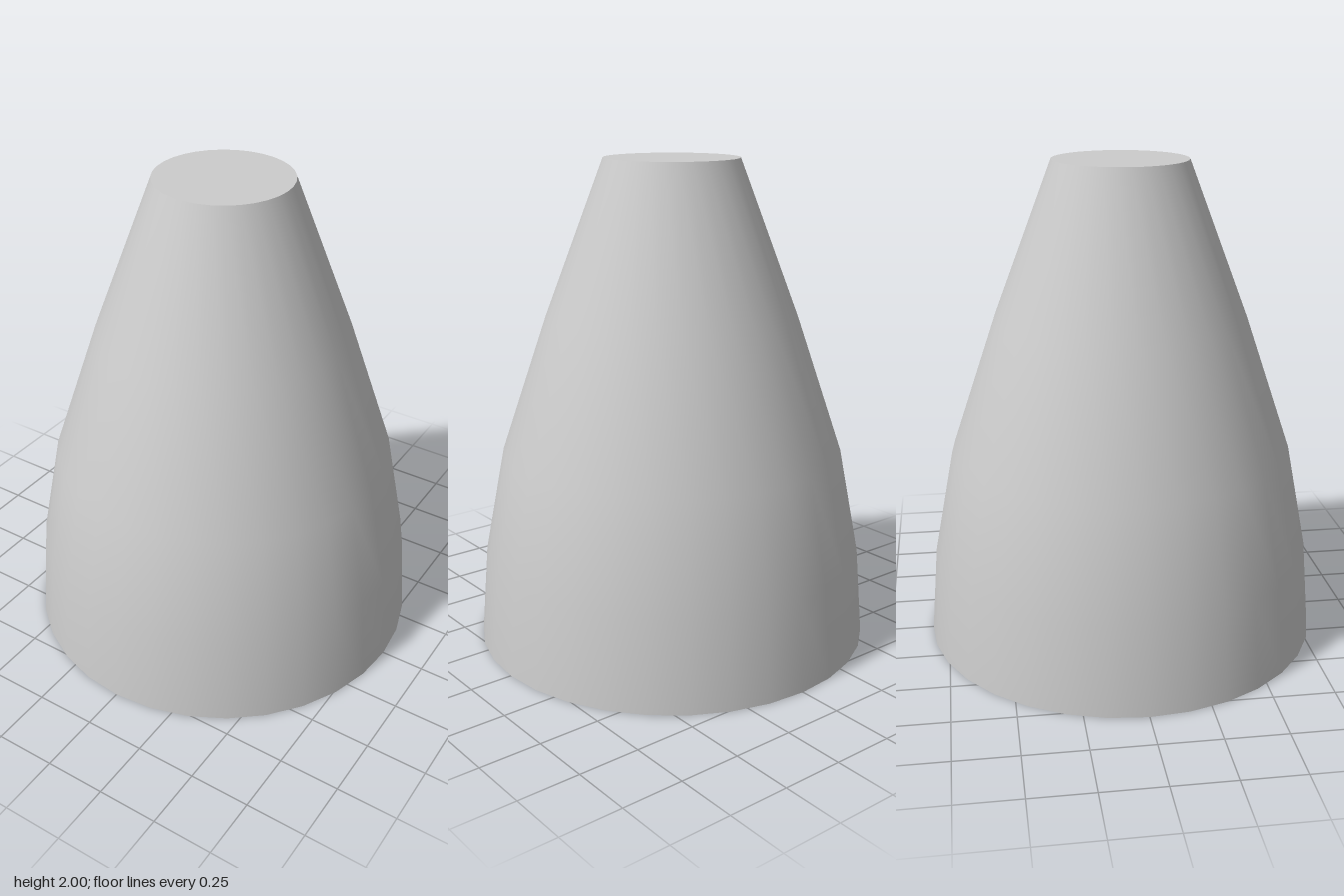
import * as THREE from 'three';

const SEGMENTS = 32;

// Outer profile from the open base to the flat top: [radius, height]
const PROFILE = [[0.82, 0], [0.79, 0.37], [0.705, 0.81], [0.515, 1.37], [0.275, 2]];

export function createModel() {
  const group = new THREE.Group();
  group.name = 'taperedShell';
  const material = new THREE.MeshStandardMaterial({ color: 0xcccccc, side: THREE.DoubleSide });

  // Thin hollow wall, open at the bottom
  const points = PROFILE.map(([r, y]) => new THREE.Vector2(r, y));
  const wall = new THREE.Mesh(new THREE.LatheGeometry(points, SEGMENTS), material);
  wall.name = 'wall';
  group.add(wall);

  // Flat disc closing the top
  const [topRadius, topHeight] = PROFILE[PROFILE.length - 1];
  const cap = new THREE.Mesh(new THREE.CircleGeometry(topRadius, SEGMENTS), material);
  cap.name = 'topCap';
  cap.rotation.x = -Math.PI / 2;
  cap.position.y = topHeight;
  group.add(cap);

  return group;
}
